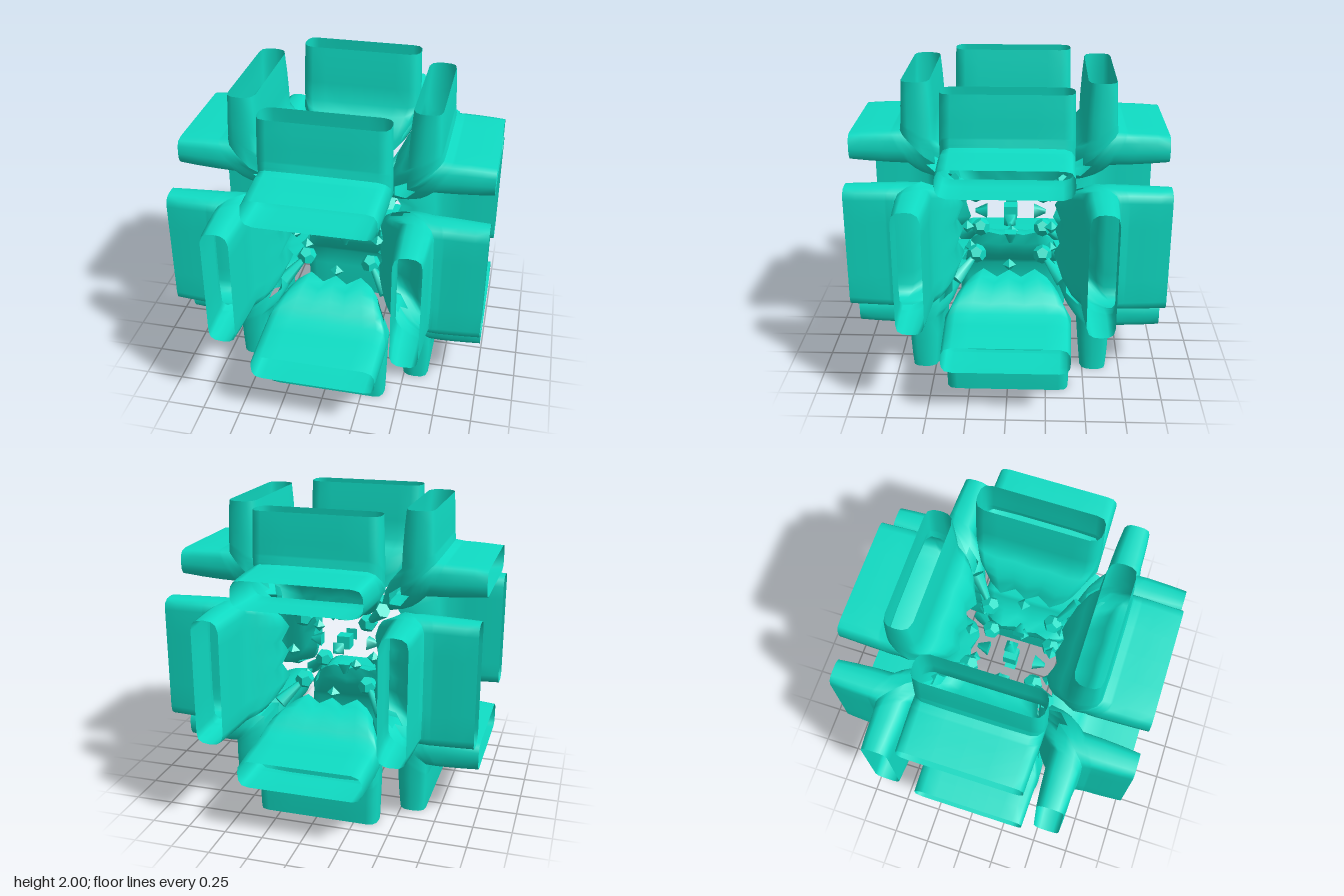
import * as THREE from 'three';

const material = new THREE.MeshStandardMaterial({ color: 0x0fdcc4, side: THREE.DoubleSide });

// Half outline of a hollow arm, inner wall to outer wall:
// [x at mouth, height at mouth, x at diagonal, distance on diagonal, funnel swell]
const OUTLINE = [
  [0, 0.485, 0, 0.30, 0.035],
  [0.12, 0.485, 0.08, 0.335, 0.035],
  [0.24, 0.485, 0.17, 0.295, 0.035],
  [0.33, 0.485, 0.25, 0.335, 0.035],
  [0.375, 0.50, 0.30, 0.38, 0.035],
  [0.395, 0.53, 0.36, 0.465, 0.02],
  [0.40, 0.57, 0.41, 0.53, 0],
  [0.395, 0.62, 0.405, 0.61, 0],
  [0.375, 0.65, 0.38, 0.66, 0],
  [0.33, 0.66, 0.34, 0.68, 0],
  [0.17, 0.66, 0.17, 0.685, 0],
  [0, 0.66, 0, 0.685, 0],
];
const LAST = OUTLINE.length - 1;
const mirrored = OUTLINE.slice(1, LAST).reverse().map(([a, b, c, d, e]) => [-a, b, -c, d, e]);
const RING = [...OUTLINE, ...mirrored];

// Position on the arm wall: straight from mouth to knee, then bending to the diagonal
function wallPoint([xm, ym, xd, d, swell], station) {
  const kneeY = 0.568 + (ym - 0.573) * 1.2;
  const kneeZ = 0.62 + (ym - 0.485) * 0.7;
  const mouth = new THREE.Vector3(xm, ym, 1);
  const knee = new THREE.Vector3(xm * 1.02, kneeY, kneeZ);
  if (station <= 1) {
    const p = mouth.lerp(knee, station);
    p.y += (kneeY - ym) * 0.8 * station * (1 - station); // gentle bulge
    return p;
  }
  const t = station - 1;
  const p = knee.lerp(new THREE.Vector3(xd, d, d), t);
  const push = swell * Math.sin(Math.PI * t);
  p.y -= push;
  p.z += push * 0.5;
  return p;
}

// One arm with its half of the inward funnel; swap gives the arm across the diagonal
function armGeometry(swap) {
  const stations = [0, 0.3, 0.65, 1, 1.2, 1.4, 1.6, 1.75, 2];
  const n = RING.length;
  const positions = [];
  const index = [];
  for (const s of stations) {
    for (const row of RING) {
      const p = wallPoint(row, s);
      positions.push(p.x, swap ? p.z : p.y, swap ? p.y : p.z);
    }
  }
  for (let s = 0; s < stations.length - 1; s++) {
    for (let i = 0; i < n; i++) {
      // leave the corner window open on both ends of the funnel
      if (s === stations.length - 2 && (i === 4 || i === n - 5)) continue;
      const j = (i + 1) % n;
      const a = s * n + i, b = s * n + j, c = a + n, d = b + n;
      if (swap) index.push(a, d, c, a, b, d);
      else index.push(a, c, d, a, d, b);
    }
  }
  const geometry = new THREE.BufferGeometry();
  geometry.setAttribute('position', new THREE.Float32BufferAttribute(positions, 3));
  geometry.setIndex(index);
  geometry.computeVertexNormals();
  return geometry;
}

export function createModel() {
  const model = new THREE.Group();
  const body = new THREE.Group();
  body.name = 'body';
  body.position.y = 1;
  model.add(body);

  const add = (parent, geometry, name, position) => {
    const mesh = new THREE.Mesh(geometry, material);
    mesh.name = name;
    if (position) mesh.position.set(...position);
    parent.add(mesh);
    return mesh;
  };

  // Twelve double-armed shells, four around each axis
  const forwardArm = armGeometry(false);
  const upwardArm = armGeometry(true);
  const turns = [[0, 0, 0], [0, 0, Math.PI / 2], [0, Math.PI / 2, 0]];
  for (const turn of turns) {
    const ring = new THREE.Group();
    ring.name = 'shellRing';
    ring.rotation.set(...turn);
    body.add(ring);
    for (let k = 0; k < 4; k++) {
      const shell = new THREE.Group();
      shell.name = 'edgeShell';
      shell.rotation.x = k * Math.PI / 2;
      add(shell, forwardArm, 'forwardArm');
      add(shell, upwardArm, 'upwardArm');
      ring.add(shell);
    }
  }

  // Small fragments in the core, placed on a 3 x 3 x 3 lattice
  const up = new THREE.Vector3(0, 1, 0);
  const bead = new THREE.BoxGeometry(0.09, 0.09, 0.09);
  const faceBead = new THREE.CylinderGeometry(0.015, 0.055, 0.08, 4).rotateY(Math.PI / 4);
  const chip = new THREE.OctahedronGeometry(0.045);
  const cornerBead = new THREE.DodecahedronGeometry(0.065);
  const strand = new THREE.CylinderGeometry(0.05, 0.02, 0.2, 6);
  const steps = [-1, 0, 1];
  for (const x of steps) for (const y of steps) for (const z of steps) {
    const direction = new THREE.Vector3(x, y, z);
    const count = Math.abs(x) + Math.abs(y) + Math.abs(z);
    const at = (r) => [x * r, y * r, z * r];
    if (count === 0) add(body, bead, 'centreBead');
    if (count === 1) {
      add(body, faceBead, 'faceBead', at(0.2)).quaternion.setFromUnitVectors(up, direction);
    }
    if (count === 2) add(body, chip, 'edgeChip', at(0.275));
    if (count === 3) {
      add(body, cornerBead, 'cornerBead', at(0.22));
      add(body, strand, 'cornerStrand', at(0.295))
        .quaternion.setFromUnitVectors(up, direction.normalize());
    }
  }
  return model;
}
